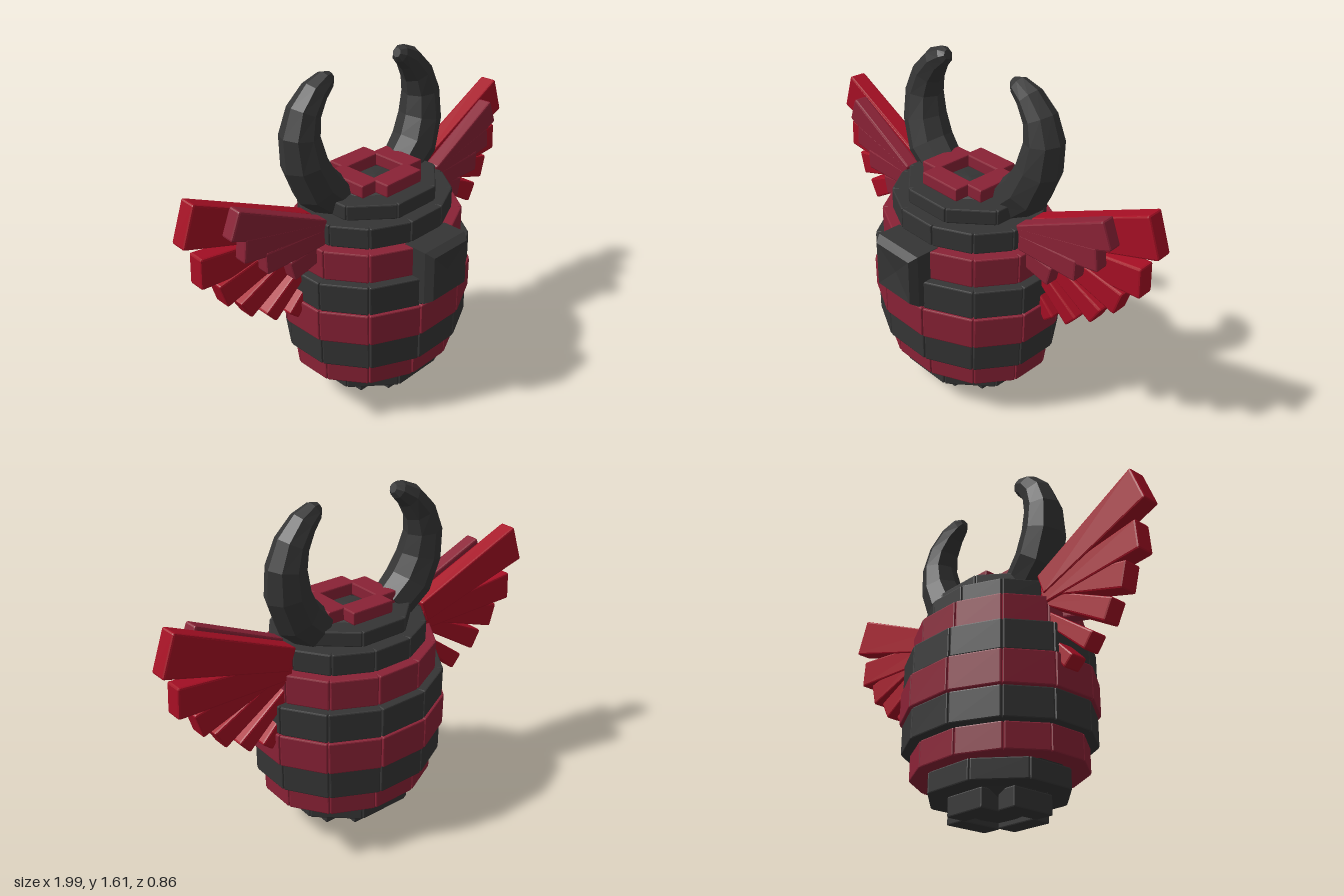
import * as THREE from 'three';
import { RoundedBoxGeometry } from 'three/addons/geometries/RoundedBoxGeometry.js';

const mat = (name, color) => {
  const m = new THREE.MeshStandardMaterial({ color });
  m.name = name;
  return m;
};

// Faceted normals
function flat(geo) {
  const g = geo.index ? geo.toNonIndexed() : geo;
  g.computeVertexNormals();
  return g;
}

function add(parent, name, geo, material) {
  const mesh = new THREE.Mesh(geo, material);
  mesh.name = name;
  parent.add(mesh);
  return mesh;
}

export function createModel() {
  const black = mat('charcoal', 0x353535);
  const red = mat('dark red', 0x8a2236);
  const bright = mat('bright red', 0xa60f24);
  const model = new THREE.Group();
  model.name = 'hornedWingedBarrel';
  const CZ = -0.025;

  // Body rings: bottom, top, half width, half depth, panel count, colour
  const rings = [
    [0.01, 0.10, 0.215, 0.195, 4, black],
    [0.10, 0.195, 0.32, 0.285, 8, black],
    [0.195, 0.315, 0.42, 0.35, 12, red],
    [0.315, 0.455, 0.455, 0.393, 12, black],
    [0.455, 0.61, 0.47, 0.405, 12, red],
    [0.61, 0.75, 0.46, 0.395, 12, black],
    [0.75, 0.89, 0.42, 0.36, 12, red],
    [0.89, 0.99, 0.37, 0.315, 12, black],
    [0.99, 1.06, 0.29, 0.255, 8, black],
    [1.06, 1.12, 0.19, 0.18, 4, red],
  ];
  const thick = 0.1;
  rings.forEach(([y0, y1, rx, rz, n, material], i) => {
    const ring = new THREE.Group();
    ring.name = `bodyRing${i + 1}`;
    const k = 1 / Math.cos(Math.PI / n);
    const corner = (j) => {
      const a = ((j - 0.5) / n) * Math.PI * 2;
      return new THREE.Vector2(Math.sin(a) * rx * k, Math.cos(a) * rz * k);
    };
    for (let j = 0; j < n; j++) {
      const a = corner(j), b = corner(j + 1);
      const d = b.clone().sub(a);
      const w = n === 4 ? 0.22 : d.length() * 0.97;
      d.normalize();
      const mid = a.add(b).multiplyScalar(0.5);
      const panel = add(ring, 'panel', flat(new RoundedBoxGeometry(w, y1 - y0, thick, 1, 0.006)), material);
      // d runs along the panel, (-d.y, d.x) points outward
      panel.position.set(mid.x + d.y * thick / 2, (y0 + y1) / 2, CZ + mid.y - d.x * thick / 2);
      panel.rotation.y = Math.atan2(-d.y, d.x);
    }
    model.add(ring);
  });

  // Inner core closing the rings at top and bottom
  const coreProfile = [
    [0, 0], [0.12, 0.035], [0.26, 0.13], [0.35, 0.25], [0.4, 0.45], [0.4, 0.65],
    [0.36, 0.82], [0.3, 0.95], [0.23, 1.02], [0.13, 1.06], [0, 1.075],
  ].map((p) => new THREE.Vector2(...p));
  const core = add(model, 'core', flat(new THREE.LatheGeometry(coreProfile, 12).scale(1, 1, 0.84)), black);
  core.position.z = CZ;

  // Square buckle with a shallow pyramid face
  const s = Math.SQRT2;
  const buckleProfile = [[0.13 * s, 0.28], [0.13 * s, 0.395], [0.108 * s, 0.43], [0, 0.415]]
    .map((p) => new THREE.Vector2(...p));
  const buckleGeo = new THREE.LatheGeometry(buckleProfile, 4).rotateY(Math.PI / 4).rotateX(Math.PI / 2);
  add(model, 'buckle', flat(buckleGeo), black).position.y = 0.762;

  // Horns: x, y, z and radius along the curve
  const hornPath = [
    [0.22, 1.03, -0.07, 0.1], [0.315, 1.12, -0.075, 0.11], [0.365, 1.24, -0.085, 0.102],
    [0.375, 1.36, -0.095, 0.088], [0.345, 1.455, -0.097, 0.075], [0.285, 1.53, -0.093, 0.06],
    [0.225, 1.568, -0.088, 0.043], [0.2, 1.578, -0.085, 0.022],
  ];
  function horn(side) {
    const n = hornPath.length - 1;
    const pts = hornPath.map(([x, y, z]) => new THREE.Vector3(side * x, y, z));
    const geo = new THREE.CylinderGeometry(1, 1, 1, 8, n);
    const p = geo.attributes.position;
    for (let i = 0; i < p.count; i++) {
      const j = Math.round((p.getY(i) + 0.5) * n);
      const t = pts[Math.min(n, j + 1)].clone().sub(pts[Math.max(0, j - 1)]).setZ(0).normalize();
      const r = hornPath[j][3], x = p.getX(i) * r, z = p.getZ(i) * r;
      p.setXYZ(i, pts[j].x + t.y * x, pts[j].y - t.x * x, pts[j].z + z);
    }
    return flat(geo);
  }

  // Feathers: root x, y; tip x, y; root and tip half height; root and tip z
  const backFeathers = [
    [0.38, 0.955, 0.963, 1.172, 0.055, 0.095, -0.09, -0.12],
    [0.38, 0.91, 0.936, 0.95, 0.05, 0.07, -0.085, -0.108],
    [0.38, 0.94, 0.85, 0.808, 0.035, 0.06, -0.08, -0.098],
    [0.38, 0.9, 0.752, 0.695, 0.03, 0.052, -0.075, -0.088],
    [0.37, 0.82, 0.632, 0.605, 0.025, 0.042, -0.07, -0.078],
    [0.37, 0.72, 0.513, 0.557, 0.022, 0.035, -0.065, -0.07],
  ];
  const frontFeathers = [
    [0.37, 0.965, 0.81, 1.148, 0.045, 0.065, 0.005, -0.025],
    [0.37, 0.96, 0.775, 1.022, 0.04, 0.056, 0.005, -0.02],
    [0.37, 0.93, 0.68, 0.925, 0.04, 0.052, 0.005, -0.01],
    [0.37, 0.87, 0.55, 0.83, 0.04, 0.05, 0, -0.005],
  ];
  function feather(parent, side, [rx, ry, tx, ty, rh, th, rz, tz], t, material) {
    const dx = side * (tx - rx), dy = ty - ry;
    const L = Math.hypot(dx, dy);
    const geo = new RoundedBoxGeometry(L, 2 * th, t, 1, 0.009);
    const p = geo.attributes.position;
    for (let i = 0; i < p.count; i++) {
      const u = p.getX(i) / L + 0.5;
      p.setY(i, p.getY(i) * THREE.MathUtils.lerp(rh / th, 1, u));
    }
    geo.translate(L / 2, 0, 0);
    const mesh = add(parent, 'feather', flat(geo), material);
    mesh.position.set(side * rx, ry, rz);
    mesh.rotation.set(0, Math.atan2(rz - tz, L) * side, Math.atan2(dy, dx));
  }

  for (const [side, label] of [[1, 'left'], [-1, 'right']]) {
    add(model, `${label}Horn`, horn(side), black);
    const wing = new THREE.Group();
    wing.name = `${label}Wing`;
    backFeathers.forEach((f) => feather(wing, side, f, 0.085, bright));
    frontFeathers.forEach((f) => feather(wing, side, f, 0.07, red));
    model.add(wing);
  }
  return model;
}
